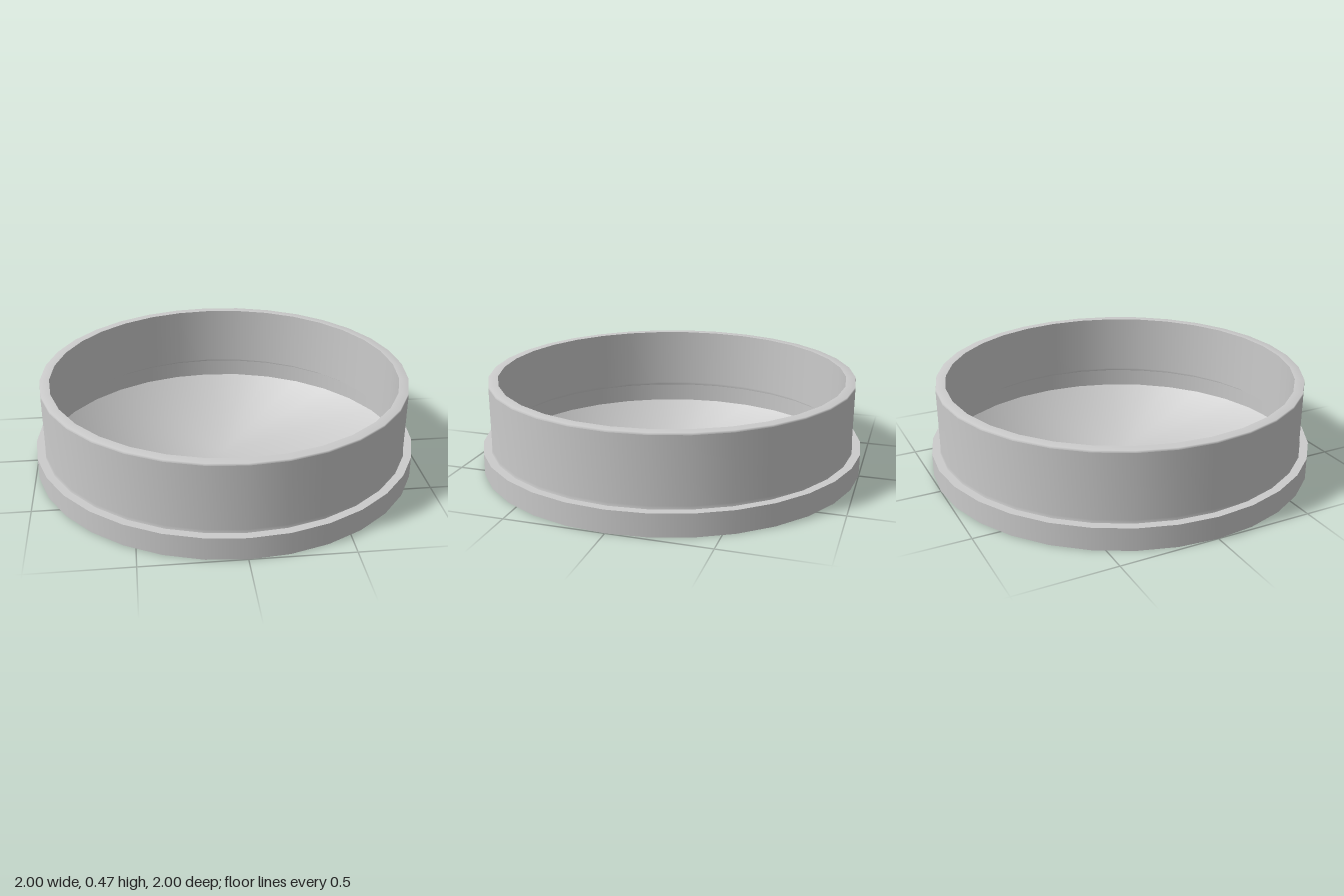
import * as THREE from 'three';

const SIDES = 32;

export function createModel() {
  const model = new THREE.Group();
  model.name = 'roundDish';
  // Thin open shell, seen from both sides
  const material = new THREE.MeshStandardMaterial({ color: 0xcccccc, side: THREE.DoubleSide });

  // Each ring is smooth within itself; the seams between rings stay sharp.
  const ring = (name, profile) => {
    const points = profile.map(([r, y]) => new THREE.Vector2(r, y));
    const mesh = new THREE.Mesh(new THREE.LatheGeometry(points, SIDES), material);
    mesh.name = name;
    model.add(mesh);
    return mesh;
  };

  // Thin base disc, shaded as if it curves softly into the foot band
  const { position, normal } = ring('base', [[0, 0], [1, 0]]).geometry.attributes;
  const n = new THREE.Vector3();
  for (let i = 0; i < position.count; i++) {
    n.set(position.getX(i), -1, position.getZ(i)).normalize();
    normal.setXYZ(i, n.x, n.y, n.z);
  }

  // Wider foot band and its flat ledge
  ring('footBand', [[1, 0], [1, 0.115]]);
  ring('footLedge', [[1, 0.115], [0.958, 0.115]]);

  // Outer wall with a tiny fillet at the foot, then the top lip
  ring('outerWall', [[0.958, 0.115], [0.955, 0.13], [0.955, 0.46]]);
  ring('topLip', [[0.955, 0.46], [0.953, 0.47], [0.905, 0.47]]);

  // Inner wall, folded down from the lip and ending free above the base
  ring('innerWall', [[0.905, 0.47], [0.905, 0.146]]);

  return model;
}
